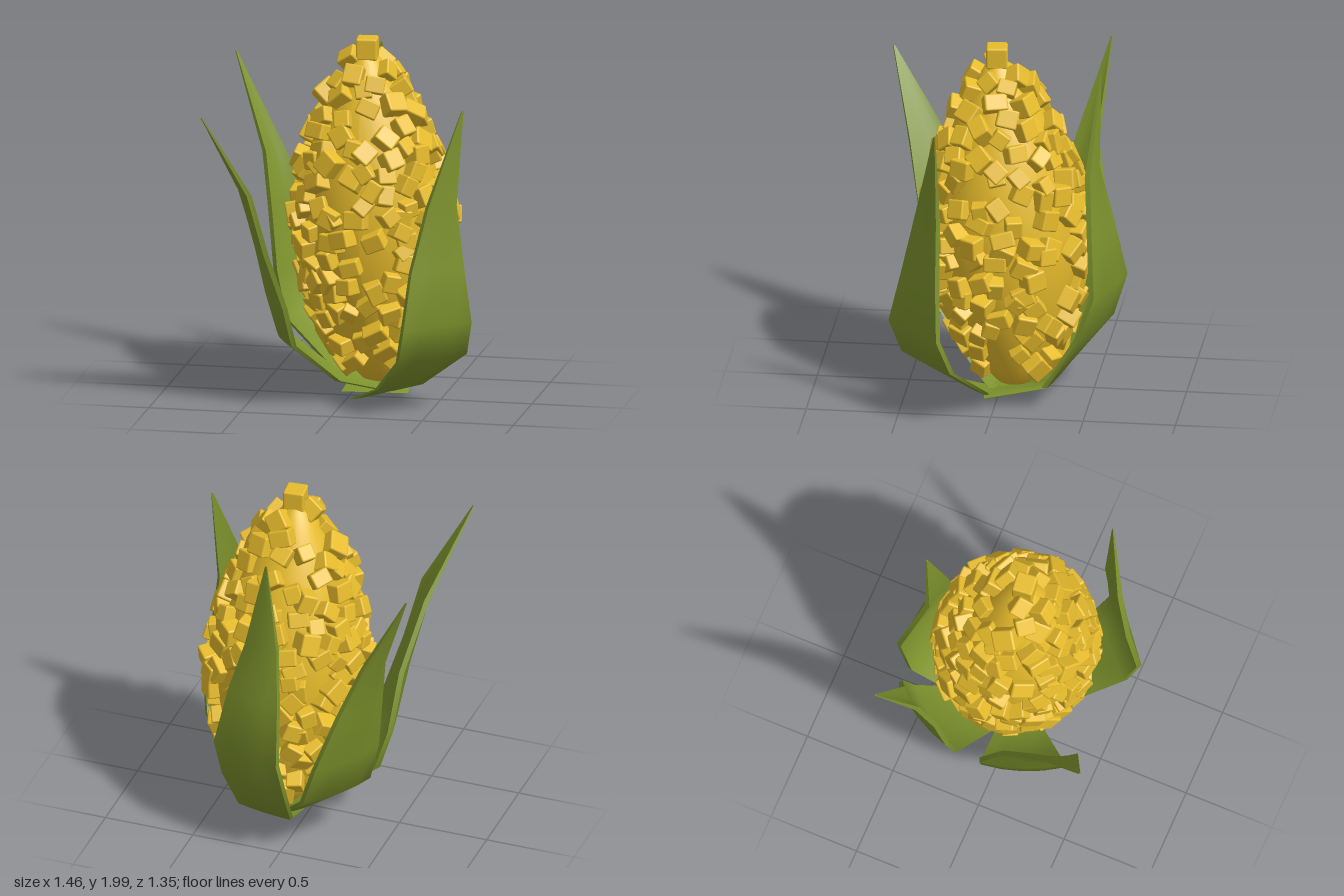
import * as THREE from 'three';
import { mergeGeometries, toCreasedNormals } from 'three/addons/utils/BufferGeometryUtils.js';
import { RoundedBoxGeometry } from 'three/addons/geometries/RoundedBoxGeometry.js';

const kernelYellow = new THREE.MeshStandardMaterial({ color: 0xe7bc2c });
kernelYellow.name = 'kernel yellow';
const huskGreen = new THREE.MeshStandardMaterial({ color: 0x7e932d });
huskGreen.name = 'husk green';

// small seeded random generator
let seed = 11;
function rand(a = 0, b = 1) {
  seed = (seed * 16807) % 2147483647;
  return a + (b - a) * (seed / 2147483647);
}

// slightly leaning cob axis
const axisX = (y) => 0.15 - 0.03 * y;
const axisZ = (y) => -0.09 + 0.05 * y;

// cob profile: [radius, height]
const profile = [
  [0, 0.07], [0.09, 0.1], [0.18, 0.2], [0.275, 0.4], [0.34, 0.6], [0.378, 0.8], [0.388, 1.0],
  [0.368, 1.2], [0.317, 1.4], [0.242, 1.6], [0.14, 1.78], [0.078, 1.88], [0, 1.93],
];

function radiusAt(y) {
  for (let i = 1; i < profile.length; i++) {
    const [r0, y0] = profile[i - 1], [r1, y1] = profile[i];
    if (y <= y1) return r0 + (r1 - r0) * (y - y0) / (y1 - y0);
  }
  return 0;
}

function createCore() {
  const geo = new THREE.LatheGeometry(profile.map(([r, y]) => new THREE.Vector2(r, y)), 32);
  const p = geo.attributes.position;
  for (let i = 0; i < p.count; i++) {
    const y = p.getY(i);
    p.setX(i, p.getX(i) + axisX(y));
    p.setZ(i, p.getZ(i) + axisZ(y));
  }
  geo.computeVertexNormals();
  return new THREE.Mesh(geo, kernelYellow);
}

// one kernel, pointing along a surface normal with a random spin and tilt
function kernel(position, normal, w, h, d, spin, tiltX, tiltY) {
  const geo = new RoundedBoxGeometry(1, 1, 1, 2, 0.1);
  const q = new THREE.Quaternion().setFromUnitVectors(new THREE.Vector3(0, 0, 1), normal);
  q.multiply(new THREE.Quaternion().setFromEuler(new THREE.Euler(tiltX, tiltY, spin)));
  geo.applyMatrix4(new THREE.Matrix4().compose(position, q, new THREE.Vector3(w, h, d)));
  return geo;
}

function createKernels() {
  const parts = [];
  const total = 265, low = 0.22, high = 1.88;
  // cumulative area, so kernels are spread evenly over the cob
  const area = [0];
  for (let i = 1; i <= 200; i++) area.push(area[i - 1] + radiusAt(low + (high - low) * i / 200) + 0.05);
  let step = 0;
  for (let i = 0; i < total; i++) {
    while (area[step + 1] < area[200] * (i + 0.5) / total) step++;
    const y = low + (high - low) * step / 200 + rand(-0.03, 0.03);
    const a = i * 2.39996 + rand(-0.15, 0.15);
    // bare patches near the foot
    const dx = Math.cos(a), dz = Math.sin(a);
    const patch = (dx > 0.6 && dz < 0.1 && y < 0.5) || (dz > 0.85 && dx > -0.1 && y > 0.72 && y < 0.95)
      || (dx > 0.3 && dz < -0.4 && y > 0.55 && y < 0.9);
    if (rand() < (patch ? 0.75 : y < 0.35 ? 0.35 : 0.1)) continue;
    const r = radiusAt(y) + rand(0, 0.03);
    const slope = (radiusAt(y + 0.04) - radiusAt(y - 0.04)) / 0.08;
    const normal = new THREE.Vector3(dx, -slope, dz).normalize();
    const position = new THREE.Vector3(axisX(y) + dx * r, y, axisZ(y) + dz * r);
    parts.push(kernel(position, normal, rand(0.085, 0.13), rand(0.08, 0.12), rand(0.08, 0.12),
      rand(-0.7, 0.7), rand(-0.3, 0.3), rand(-0.3, 0.3)));
  }
  // upright kernel on the very top
  parts.push(kernel(new THREE.Vector3(0.1, 1.94, 0.015), new THREE.Vector3(0, 1, 0), 0.115, 0.115, 0.12, 0.1, 0, 0));
  return new THREE.Mesh(mergeGeometries(parts), kernelYellow);
}

// husk leaf rows: [height, left x, left z, right x, right z, bulge], seen from outside
const leaves = {
  frontLeftHuskLeaf: [
    [0.01, 0.04, 0.09, 0.1, 0.02, 0.0], [0.1, 0.2, 0.23, 0.41, 0.04, 0.01],
    [0.32, 0.37, 0.5, 0.685, 0.2, 0.01], [0.51, 0.41, 0.565, 0.725, 0.27, 0.005],
    [0.82, 0.44, 0.49, 0.685, 0.28, 0.015], [1.16, 0.515, 0.41, 0.645, 0.28, 0.01],
    [1.68, 0.675, 0.29, 0.683, 0.283, 0],
  ],
  frontRightHuskLeaf: [
    [0.06, 0.1, -0.12, 0.18, 0.06, 0], [0.13, -0.1, -0.06, -0.04, 0.19, 0.02],
    [0.36, -0.4, -0.03, -0.24, 0.39, 0.03], [0.58, -0.465, -0.01, -0.28, 0.44, 0.03],
    [0.88, -0.48, 0.13, -0.37, 0.5, 0.03], [1.22, -0.54, 0.36, -0.45, 0.56, 0.015],
    [1.67, -0.683, 0.665, -0.677, 0.672, 0],
  ],
  backRightHuskLeaf: [
    [0.07, 0.22, -0.12, 0.12, 0.03, 0], [0.12, 0.05, -0.28, -0.1, -0.07, 0.02],
    [0.38, -0.15, -0.55, -0.4, -0.18, 0.03], [0.62, -0.23, -0.58, -0.46, -0.21, 0.03],
    [0.95, -0.35, -0.53, -0.5, -0.26, 0.03], [1.25, -0.47, -0.47, -0.55, -0.35, 0.02],
    [1.76, -0.726, -0.512, -0.73, -0.505, 0],
  ],
  backHuskLeaf: [
    [0.05, 0.33, 0.03, -0.03, 0.06, 0], [0.12, 0.32, -0.28, 0.0, -0.34, 0.01],
    [0.42, 0.35, -0.46, -0.06, -0.6, 0.01], [0.66, 0.365, -0.54, -0.04, -0.675, 0.005],
    [1.0, 0.29, -0.52, -0.02, -0.6, 0.015], [1.3, 0.2, -0.5, 0.01, -0.53, 0.015],
    [1.84, 0.07, -0.544, 0.06, -0.546, 0],
  ],
};

function createLeaf(rows) {
  const n = 5, ring = n * 2;
  const pos = [], index = [];
  rows.forEach(([y, lx, lz, rx, rz, bulge], i) => {
    const len = Math.hypot(rx - lx, rz - lz);
    const ox = -(rz - lz) / len, oz = (rx - lx) / len;
    const thick = i === rows.length - 1 ? 0.006 : 0.028;
    // outer face left to right, then inner face back again
    for (let k = 0; k < ring; k++) {
      const t = k < n ? k / (n - 1) : (ring - 1 - k) / (n - 1);
      const out = bulge * (1 - (2 * t - 1) ** 2) - (k < n ? 0 : thick);
      pos.push(lx + (rx - lx) * t + ox * out, y, lz + (rz - lz) * t + oz * out);
    }
  });
  for (let i = 0; i < rows.length - 1; i++) {
    for (let k = 0; k < ring; k++) {
      const a = i * ring + k, b = i * ring + (k + 1) % ring;
      index.push(a, b, b + ring, a, b + ring, a + ring);
    }
  }
  // close both ends
  const top = (rows.length - 1) * ring;
  for (let k = 0; k < n - 1; k++) {
    const a = k, b = k + 1, c = ring - 2 - k, d = ring - 1 - k;
    index.push(a, c, b, a, d, c);
    index.push(top + a, top + b, top + c, top + a, top + c, top + d);
  }
  const geo = new THREE.BufferGeometry();
  geo.setAttribute('position', new THREE.Float32BufferAttribute(pos, 3));
  geo.setIndex(index);
  return new THREE.Mesh(toCreasedNormals(geo, 0.8), huskGreen);
}

export function createModel() {
  const model = new THREE.Group();
  model.name = 'cornCob';

  const core = createCore();
  core.name = 'cobCore';
  const kernels = createKernels();
  kernels.name = 'kernels';
  model.add(core, kernels);

  for (const [name, rows] of Object.entries(leaves)) {
    const leaf = createLeaf(rows);
    leaf.name = name;
    model.add(leaf);
  }
  return model;
}
